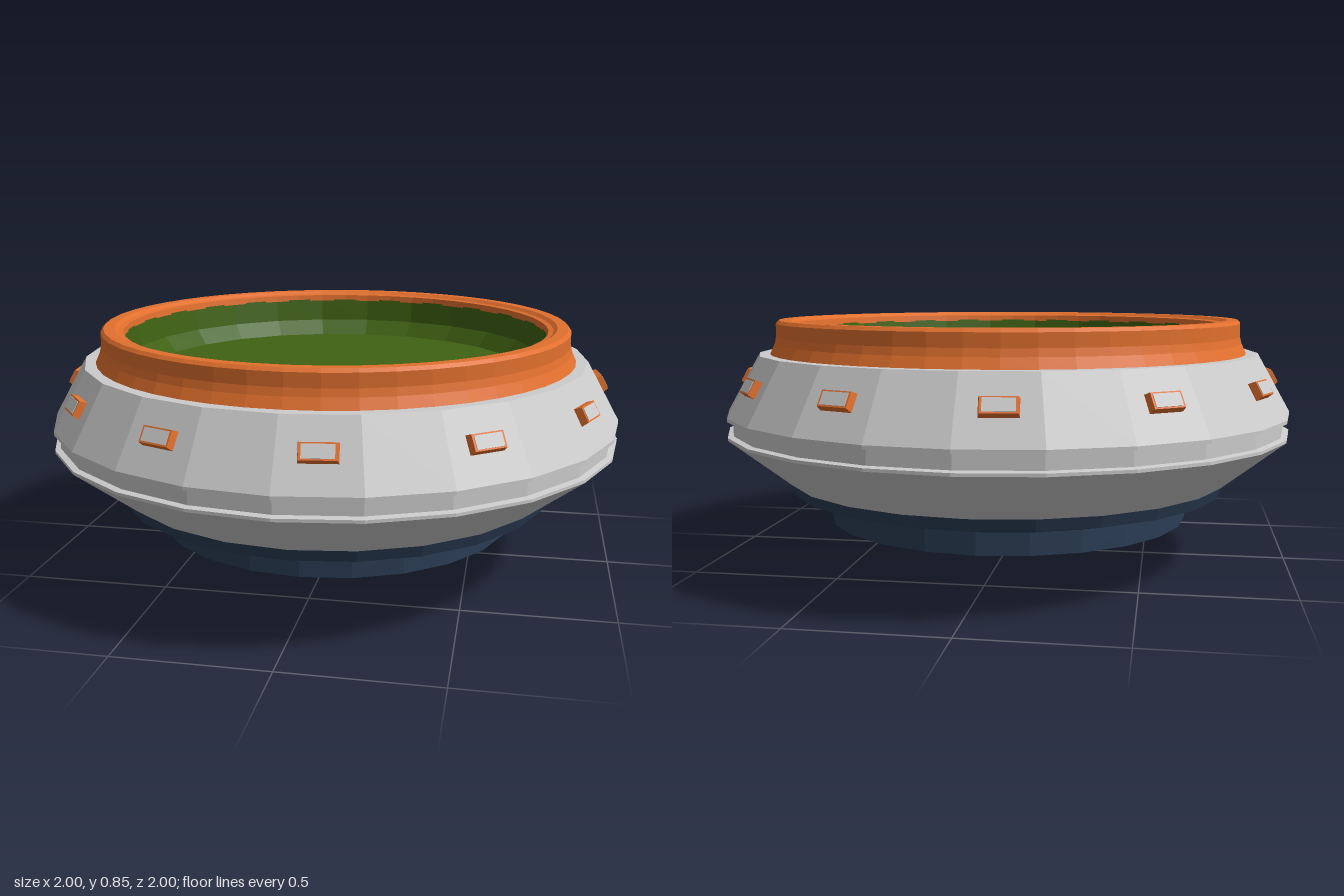
import * as THREE from 'three';

const GREY = 0xcccccc, ORANGE = 0xe2702e, NAVY = 0x2b3d55, GREEN = 0x3f6212;

const material = (color) => new THREE.MeshStandardMaterial({ color, flatShading: true });

// Faceted ring from a [radius, height] profile, running up the outside
function turned(name, color, profile, sides = 24) {
  const points = profile.map(([r, y]) => new THREE.Vector2(r, y));
  const mesh = new THREE.Mesh(new THREE.LatheGeometry(points, sides), material(color));
  mesh.name = name;
  return mesh;
}

// Block whose outer (+z) face is shrunk to make bevelled sides
function bevelledBlock(w, h, d, inset) {
  const geometry = new THREE.BoxGeometry(w, h, d);
  const p = geometry.attributes.position;
  for (let i = 0; i < p.count; i++) {
    if (p.getZ(i) > 0) {
      p.setX(i, p.getX(i) - Math.sign(p.getX(i)) * inset);
      p.setY(i, p.getY(i) - Math.sign(p.getY(i)) * inset);
    }
  }
  geometry.computeVertexNormals();
  return geometry;
}

function createWindow() {
  const window = new THREE.Group();
  window.name = 'window';
  const frame = new THREE.Mesh(bevelledBlock(0.125, 0.068, 0.05, 0.008), material(ORANGE));
  frame.name = 'windowFrame';
  const pane = new THREE.Mesh(new THREE.BoxGeometry(0.095, 0.042, 0.01), material(GREY));
  pane.name = 'windowPane';
  pane.position.z = 0.022;
  window.add(frame, pane);
  return window;
}

export function createModel() {
  const model = new THREE.Group();
  model.name = 'saucerBase';

  // Pointed underside with its stepped drum
  model.add(turned('underside', NAVY, [
    [0, 0.005], [0.645, 0.145], [0.645, 0.22], [0.775, 0.255], [0.79, 0.295], [0.74, 0.295],
  ]));

  // Lower hull, recessed equator band, upper hull
  model.add(turned('lowerHull', GREY, [
    [0.79, 0.295], [1, 0.462], [1, 0.472], [0.97, 0.478],
  ]));
  model.add(turned('equatorBand', GREY, [[0.98, 0.47], [0.98, 0.525]]));
  model.add(turned('upperHull', GREY, [
    [0.97, 0.52], [1, 0.525], [1, 0.537], [0.885, 0.74], [0.78, 0.742],
  ]));

  // Collar and rounded rim around the opening
  model.add(turned('rim', ORANGE, [
    [0.845, 0.738], [0.828, 0.775], [0.822, 0.8], [0.822, 0.845], [0.812, 0.856],
    [0.775, 0.856], [0.762, 0.846], [0.745, 0.843], [0.742, 0.82],
  ], 48));

  // Sunken basin
  model.add(turned('basin', GREEN, [
    [0.746, 0.825], [0.735, 0.74], [0.69, 0.685], [0, 0.685],
  ]));

  // Twelve windows, each centred on every second hull facet
  const tilt = Math.atan2(0.115, 0.203);
  for (let i = 0; i < 12; i++) {
    const bay = new THREE.Group();
    bay.name = 'windowBay';
    bay.rotation.y = Math.PI / 24 + (i * Math.PI) / 6;
    const window = createWindow();
    window.position.set(0, 0.643, 0.931);
    window.rotation.x = -tilt;
    bay.add(window);
    model.add(bay);
  }
  return model;
}
